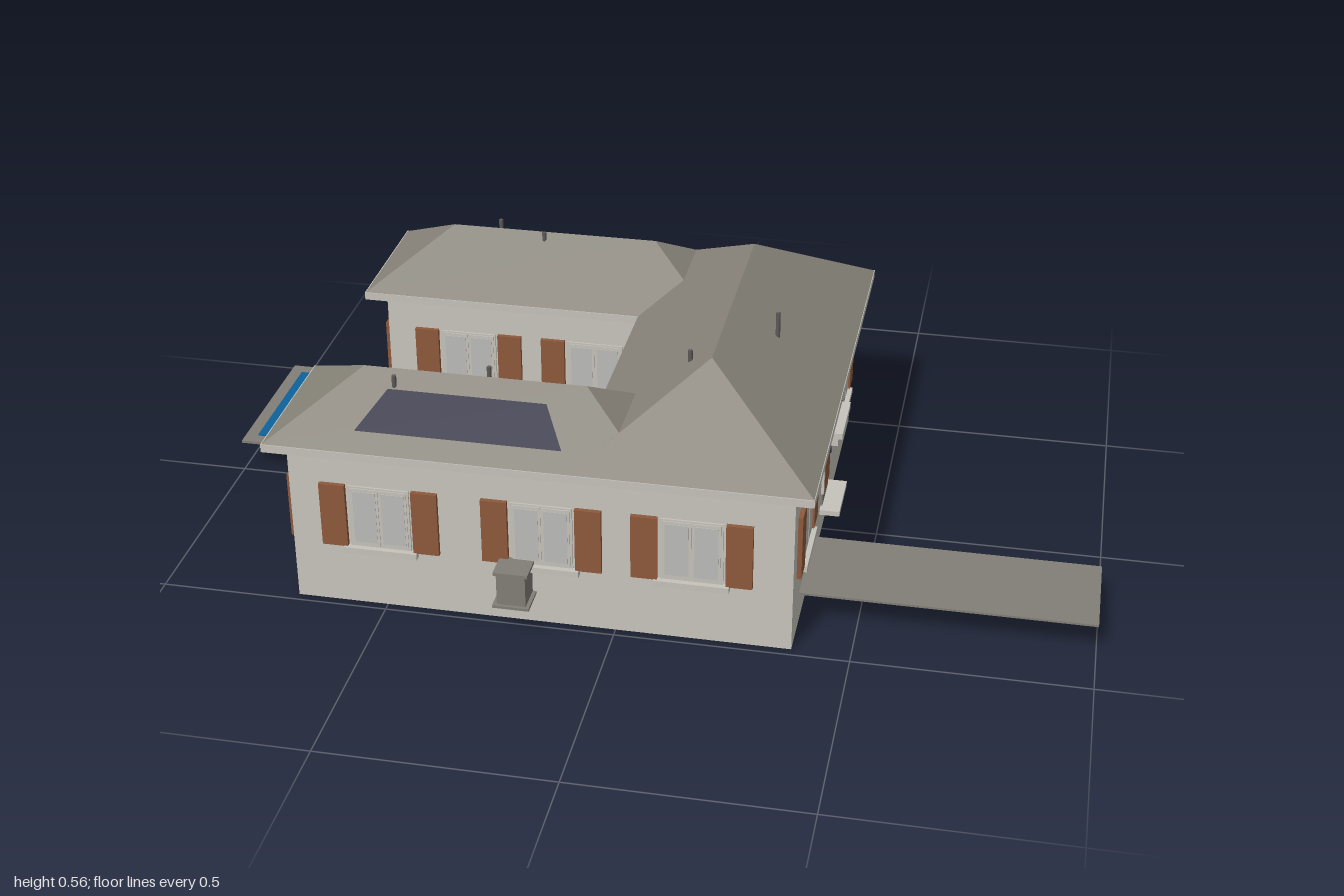
import * as THREE from 'three';

const mat = (name, color, side = THREE.FrontSide) => {
  const m = new THREE.MeshStandardMaterial({ color, side });
  m.name = name;
  return m;
};

export function createModel() {
  const plaster = mat('plaster', 0xc9c5bd);
  const trim = mat('trim', 0xc6c3bb);
  const glass = mat('glass', 0xbcbdb9);
  const slate = mat('roof slate', 0x88847a, THREE.DoubleSide);
  const stone = mat('grey stone', 0x827f78);
  const wood = mat('shutter wood', 0x8e5a3c);
  const floorWood = mat('floor wood', 0x7a6040);
  const water = mat('water', 0x0d639c);
  const navy = mat('solar navy', 0x20203a, THREE.DoubleSide);
  const metal = mat('dark metal', 0x5c5b58);

  const house = new THREE.Group();
  house.name = 'house';

  const add = (parent, name, geometry, material) => {
    const mesh = new THREE.Mesh(geometry, material);
    mesh.name = name;
    parent.add(mesh);
    return mesh;
  };
  // Box given by its limits on each axis
  const box = (parent, name, material, [x0, x1], [y0, y1], [z0, z1]) => {
    const mesh = add(parent, name, new THREE.BoxGeometry(x1 - x0, y1 - y0, z1 - z0), material);
    mesh.position.set((x0 + x1) / 2, (y0 + y1) / 2, (z0 + z1) / 2);
    return mesh;
  };
  const plan = (points) => points.map(([x, z]) => new THREE.Vector2(x, -z));
  // Floor plan raised to a height, with optional rectangular rooms cut out
  const raisedPlan = (points, rooms, y, height) => {
    const shape = new THREE.Shape(plan(points));
    for (const [x0, x1, z0, z1] of rooms) {
      shape.holes.push(new THREE.Path(plan([[x0, z0], [x1, z0], [x1, z1], [x0, z1]])));
    }
    return new THREE.ExtrudeGeometry(shape, { depth: height, bevelEnabled: false })
      .rotateX(-Math.PI / 2).translate(0, y, 0);
  };
  const uPlan = (x0, xi, x1, z0, zi0, zi1, z1) =>
    [[x0, z1], [x1, z1], [x1, z0], [x0, z0], [x0, zi0], [xi, zi0], [xi, zi1], [x0, zi1]];

  // Walls around three rooms, and the eaves board
  const rooms = [
    [-0.035, 0.355, -0.49, 0.46],
    [-0.68, -0.055, -0.49, -0.26],
    [-0.68, -0.055, 0.22, 0.46],
  ];
  add(house, 'walls', raisedPlan(
    uPlan(-0.70, -0.055, 0.375, -0.51, -0.24, 0.20, 0.48), rooms, 0, 0.375), plaster);
  add(house, 'eaves', raisedPlan(
    uPlan(-0.742, -0.088, 0.417, -0.552, -0.203, 0.163, 0.517), [], 0.373, 0.018), trim);
  rooms.forEach(([x0, x1, z0, z1], i) =>
    box(house, 'floor', i === 1 ? floorWood : trim, [x0, x1], [0.07, 0.08], [z0, z1]));

  // Hip roofs with equal slopes on all sides
  const hipRoof = (name, x, z, length, width, height, turn = 0) => {
    const l = length / 2, w = width / 2, r = l - w;
    const a = [-l, 0, -w], b = [l, 0, -w], c = [l, 0, w], d = [-l, 0, w];
    const e = [-r, height, 0], f = [r, height, 0];
    const g = new THREE.BufferGeometry();
    g.setAttribute('position', new THREE.Float32BufferAttribute(
      [d, c, f, d, f, e, b, a, e, b, e, f, a, d, e, c, b, f].flat(), 3));
    g.computeVertexNormals();
    const mesh = add(house, name, g, slate);
    mesh.position.set(x, 0.391, z);
    mesh.rotation.y = turn;
  };
  hipRoof('mainRoof', 0.163, -0.0175, 1.065, 0.505, 0.164, Math.PI / 2);
  hipRoof('backWingRoof', -0.325, -0.3775, 0.83, 0.345, 0.112);
  hipRoof('frontWingRoof', -0.325, 0.34, 0.83, 0.35, 0.112);

  // Solar panel lying on the front slope
  const solar = new THREE.BufferGeometry();
  const [p, q, r, s] = [[-0.55, 0.422, 0.475], [-0.11, 0.422, 0.475],
    [-0.16, 0.480, 0.39], [-0.50, 0.480, 0.39]];
  solar.setAttribute('position', new THREE.Float32BufferAttribute([p, q, r, p, r, s].flat(), 3));
  solar.computeVertexNormals();
  add(house, 'solarPanel', solar, navy);

  // Vent pipes: x, z, top
  for (const [x, z, top] of [[-0.465, -0.42, 0.505], [-0.345, -0.36, 0.51], [0.265, 0.015, 0.545],
    [0.11, 0.22, 0.545], [-0.305, 0.30, 0.505], [-0.49, 0.375, 0.505]]) {
    add(house, 'ventPipe', new THREE.CylinderGeometry(0.005, 0.005, 0.08, 10), metal)
      .position.set(x, top - 0.04, z);
  }

  // Double window with sill and open shutters, facing +z before turning
  const addWindow = (x, z, turn) => {
    const g = new THREE.Group();
    g.name = 'window';
    box(g, 'frame', trim, [-0.066, 0.066], [0.145, 0.291], [-0.004, 0.004]);
    box(g, 'sill', trim, [-0.08, 0.08], [0.131, 0.145], [-0.004, 0.016]);
    for (const side of [-1, 1]) {
      box(g, 'casement', trim, [side * 0.031 - 0.030, side * 0.031 + 0.030], [0.15, 0.287], [0, 0.006]);
      box(g, 'pane', glass, [side * 0.031 - 0.025, side * 0.031 + 0.025], [0.157, 0.28], [0.002, 0.007]);
      box(g, 'shutter', wood, [side * 0.1 - 0.028, side * 0.1 + 0.028], [0.144, 0.293], [0, 0.01]);
    }
    g.position.set(x, 0, z);
    g.rotation.y = turn;
    house.add(g);
  };
  const H = Math.PI / 2;
  for (const x of [-0.505, -0.155, 0.163]) {
    addWindow(x, 0.48, 0);
    addWindow(x, -0.51, 2 * H);
  }
  for (const x of [-0.505, -0.2]) {
    addWindow(x, -0.24, 0);
    addWindow(x, 0.20, 2 * H);
  }
  for (const z of [0.303, -0.33]) addWindow(0.375, z, H);
  for (const z of [0.34, -0.375]) addWindow(-0.70, z, -H);
  addWindow(-0.055, -0.02, -H);

  // Entrance
  const door = new THREE.Group();
  door.name = 'entrance';
  house.add(door);
  box(door, 'doorBase', stone, [0.37, 0.379], [0.08, 0.112], [-0.06, 0.036]);
  box(door, 'door', wood, [0.37, 0.382], [0.112, 0.252], [-0.055, 0.027]);
  box(door, 'jamb', trim, [0.37, 0.381], [0.112, 0.262], [0.027, 0.036]);
  box(door, 'jamb', trim, [0.37, 0.381], [0.112, 0.262], [-0.062, -0.055]);
  box(door, 'doorPlate', navy, [0.37, 0.384], [0.168, 0.204], [-0.061, -0.054]);
  box(door, 'doorstep', trim, [0.37, 0.42], [0.071, 0.083], [-0.08, 0.056]);
  box(door, 'canopy', trim, [0.37, 0.42], [0.272, 0.286], [-0.085, 0.061]);
  box(door, 'canopyBracket', trim, [0.37, 0.41], [0.25, 0.272], [0.036, 0.053]);
  box(door, 'canopyBracket', trim, [0.37, 0.41], [0.25, 0.272], [-0.078, -0.062]);

  // Outdoor unit beside the front wall
  box(house, 'unitBase', stone, [-0.249, -0.17], [0.07, 0.076], [0.48, 0.55]);
  box(house, 'unitBody', stone, [-0.24, -0.178], [0.076, 0.148], [0.48, 0.543]);
  box(house, 'unitCap', stone, [-0.246, -0.172], [0.148, 0.155], [0.48, 0.546]);

  // Path and pool
  box(house, 'path', stone, [0.375, 1], [0.071, 0.076], [0.155, 0.38]);
  box(house, 'poolDeck', stone, [-1, -0.77], [0.071, 0.077], [-0.38, 0]);
  box(house, 'poolWater', water, [-0.97, -0.80], [0.074, 0.08], [-0.345, -0.03]);

  return house;
}
